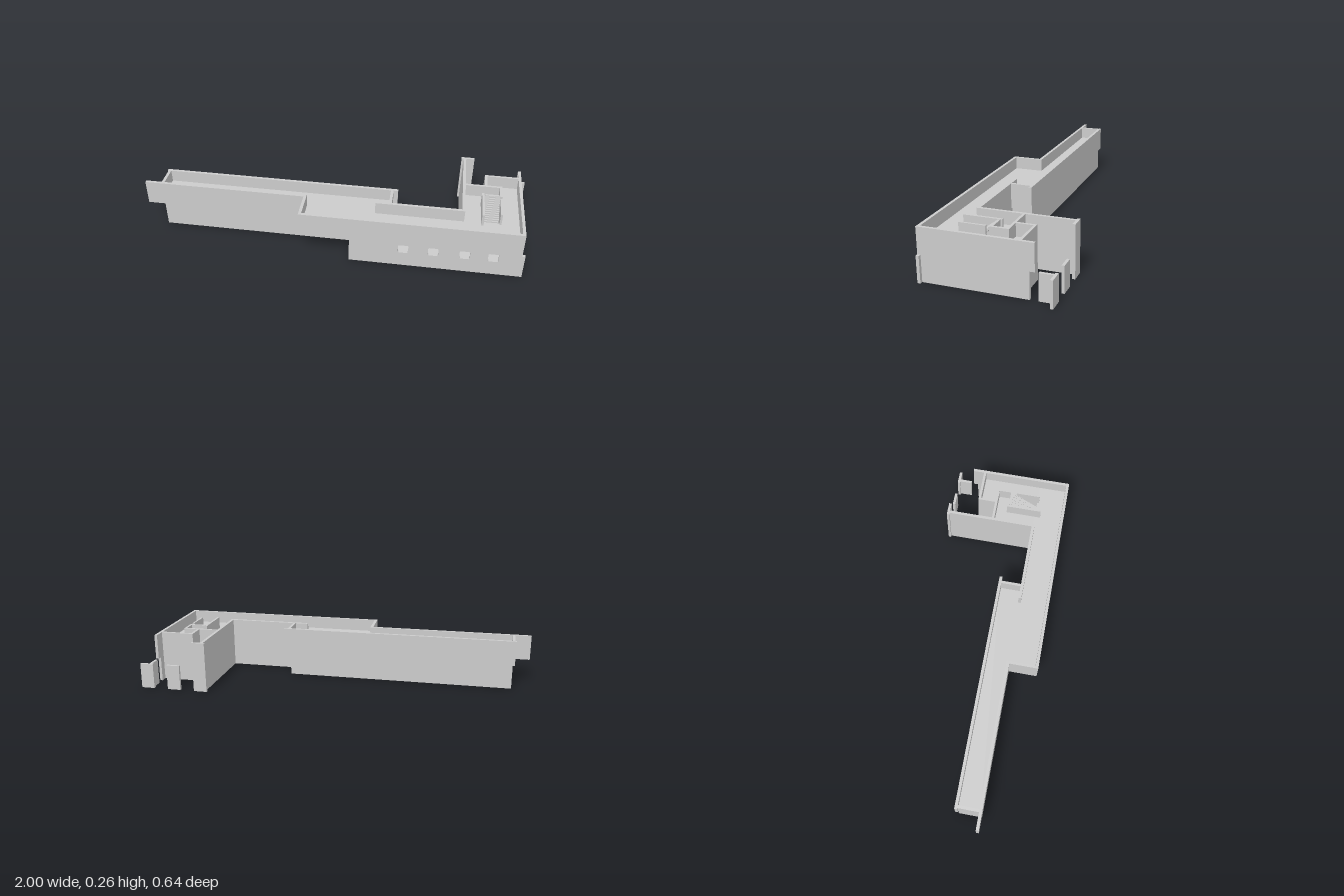
import * as THREE from 'three';

const H = 0.262, M = 0.131;   // wall top, storey joint
const GROUND = 0.05, UPPER = 0.198; // floor levels

export function createModel() {
  const model = new THREE.Group();
  const mat = new THREE.MeshStandardMaterial({ color: 0xcccccc, flatShading: true });

  function box(name, x0, x1, z0, z1, y0, y1, parent = model) {
    const m = new THREE.Mesh(new THREE.BoxGeometry(x1 - x0, y1 - y0, z1 - z0), mat);
    m.position.set((x0 + x1) / 2, (y0 + y1) / 2, (z0 + z1) / 2);
    m.name = name;
    parent.add(m);
  }

  // Lower storey walls: [name, x0, x1, z0, z1]
  [
    ['lowerWingFrontWall', -0.91, 0.102, 0.156, 0.169],
    ['lowerWingBackWall', -0.91, 0.285, 0.048, 0.062],
    ['lowerWingLeftEnd', -0.91, -0.896, 0.062, 0.156],
    ['lowerWingRightEnd', 0.271, 0.285, 0.062, 0.156],
    ['lowerHallReturn', 0.102, 0.116, 0.156, 0.305],
    ['lowerSideWall', 0.94, 0.954, -0.2, 0.305],
    ['backPier', 0.785, 0.855, -0.32, -0.306],
    ['cornerPierBack', 0.93, 1.0, -0.32, -0.306],
    ['cornerPierSide', 0.94, 0.954, -0.306, -0.24],
  ].forEach(([n, x0, x1, z0, z1]) => box(n, x0, x1, z0, z1, 0, M));

  // Upper storey walls
  [
    ['upperWingFrontWall', -1, -0.155, 0.155, 0.17],
    ['upperWingBackWall', -0.92, 0.32, 0.035, 0.05],
    ['upperWingLeftEnd', -0.915, -0.9, 0.05, 0.155],
    ['upperWingRightEnd', 0.283, 0.297, 0.05, 0.155],
    ['upperHallReturn', -0.155, -0.14, 0.155, 0.305],
    ['upperHallFrontWall', -0.155, 0.955, 0.305, 0.32],
    ['upperSideWall', 0.94, 0.955, -0.225, 0.305],
  ].forEach(([n, x0, x1, z0, z1]) => box(n, x0, x1, z0, z1, M, H));

  // Full-height walls and partitions
  [
    ['hallBackWall', 0.215, 0.65, 0.155, 0.17],
    ['roomLeftWall', 0.65, 0.665, -0.306, 0.17],
    ['backPost', 0.64, 0.71, -0.32, -0.306],
    ['roomBackWall', 0.765, 0.94, -0.165, -0.152],
    ['closetWall', 0.765, 0.778, -0.152, -0.07],
    ['corridorWall', 0.665, 0.853, -0.07, -0.057],
    ['stairRightWall', 0.84, 0.853, -0.057, 0.02],
    ['stairHeadWall', 0.765, 0.84, 0.008, 0.02],
    ['stairLeftPartition', 0.749, 0.761, 0, 0.19],
    ['stairRightPartition', 0.84, 0.85, 0.04, 0.17],
  ].forEach(([n, x0, x1, z0, z1]) => box(n, x0, x1, z0, z1, 0, H));

  // Lower front wall with four rounded windows
  const front = new THREE.Shape();
  front.moveTo(0.102, 0).lineTo(0.97, 0).lineTo(0.97, M).lineTo(0.102, M).closePath();
  [0.375, 0.525, 0.68, 0.82].forEach((x) => {
    const a = x - 0.026, b = x + 0.026, c = 0.081, d = 0.128, r = 0.008;
    const hole = new THREE.Path();
    hole.moveTo(a + r, c).lineTo(b - r, c).quadraticCurveTo(b, c, b, c + r)
      .lineTo(b, d - r).quadraticCurveTo(b, d, b - r, d)
      .lineTo(a + r, d).quadraticCurveTo(a, d, a, d - r)
      .lineTo(a, c + r).quadraticCurveTo(a, c, a + r, c);
    front.holes.push(hole);
  });
  const frontWall = new THREE.Mesh(
    new THREE.ExtrudeGeometry(front, { depth: 0.015, bevelEnabled: false, curveSegments: 4 }), mat);
  frontWall.position.z = 0.305;
  frontWall.name = 'windowWall';
  model.add(frontWall);

  // Thin floors, open only where the stairs pass: [x0, x1, z0, z1]
  const room = [
    [0.66, 0.755, -0.06, 0.16],
    [0.845, 0.945, -0.06, 0.16],
    [0.755, 0.845, -0.06, 0.015],
    [0.77, 0.945, -0.16, -0.06],
  ];
  [[-0.9, 0.275, 0.055, 0.16], [0.11, 0.945, 0.16, 0.31], ...room]
    .forEach((r) => box('groundFloor', ...r, GROUND, GROUND + 0.004));
  [[-0.905, 0.285, 0.045, 0.16], [-0.15, 0.945, 0.16, 0.31], ...room]
    .forEach((r) => box('upperFloor', ...r, UPPER - 0.004, UPPER));

  // Two stacked flights of stairs rising toward the back
  const steps = 20, run = 0.175 / steps;
  [0, M].forEach((base, k) => {
    const flight = new THREE.Group();
    flight.name = k ? 'upperStairs' : 'lowerStairs';
    for (let i = 0; i < steps; i++) {
      const top = base + (M * (i + 1)) / steps - 0.003;
      const z1 = 0.19 - i * run;
      box('step', 0.761, 0.84, z1 - run, z1, Math.max(base, top - 0.014), top, flight);
    }
    model.add(flight);
  });

  return model;
}
